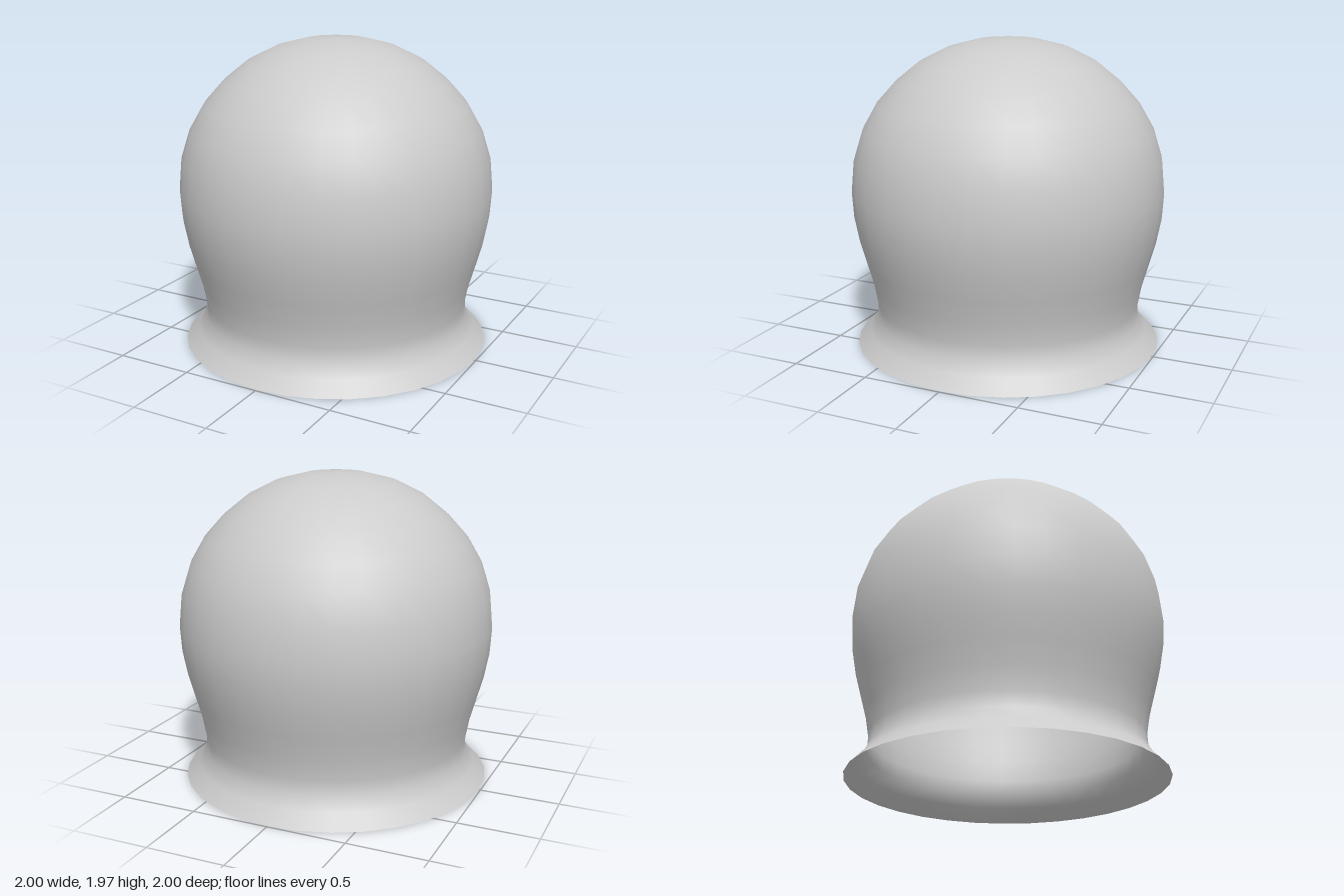
import * as THREE from 'three';

export function createModel() {
  const group = new THREE.Group();
  const material = new THREE.MeshStandardMaterial({ color: 0xcccccc, side: THREE.DoubleSide });

  // Flared rim and narrowed neck, rising to the widest ring
  const profile = [
    [0.99, 0], [0.908, 0.085], [0.86, 0.165], [0.855, 0.26], [0.88, 0.4],
    [0.92, 0.545], [0.96, 0.69], [0.99, 0.85], [1, 1.013],
  ].map(([r, y]) => new THREE.Vector2(r, y));

  // Domed top, ring heights at even angles
  const heights = [1.217, 1.398, 1.559, 1.698, 1.82, 1.906, 1.955, 1.965];
  heights.forEach((y, i) => {
    const r = i === 7 ? 0 : Math.cos(((i + 1) * Math.PI) / 16);
    profile.push(new THREE.Vector2(r, y));
  });

  // One thin open shell
  const dome = new THREE.Mesh(new THREE.LatheGeometry(profile, 32), material);
  dome.name = 'domeShell';
  group.add(dome);
  return group;
}
